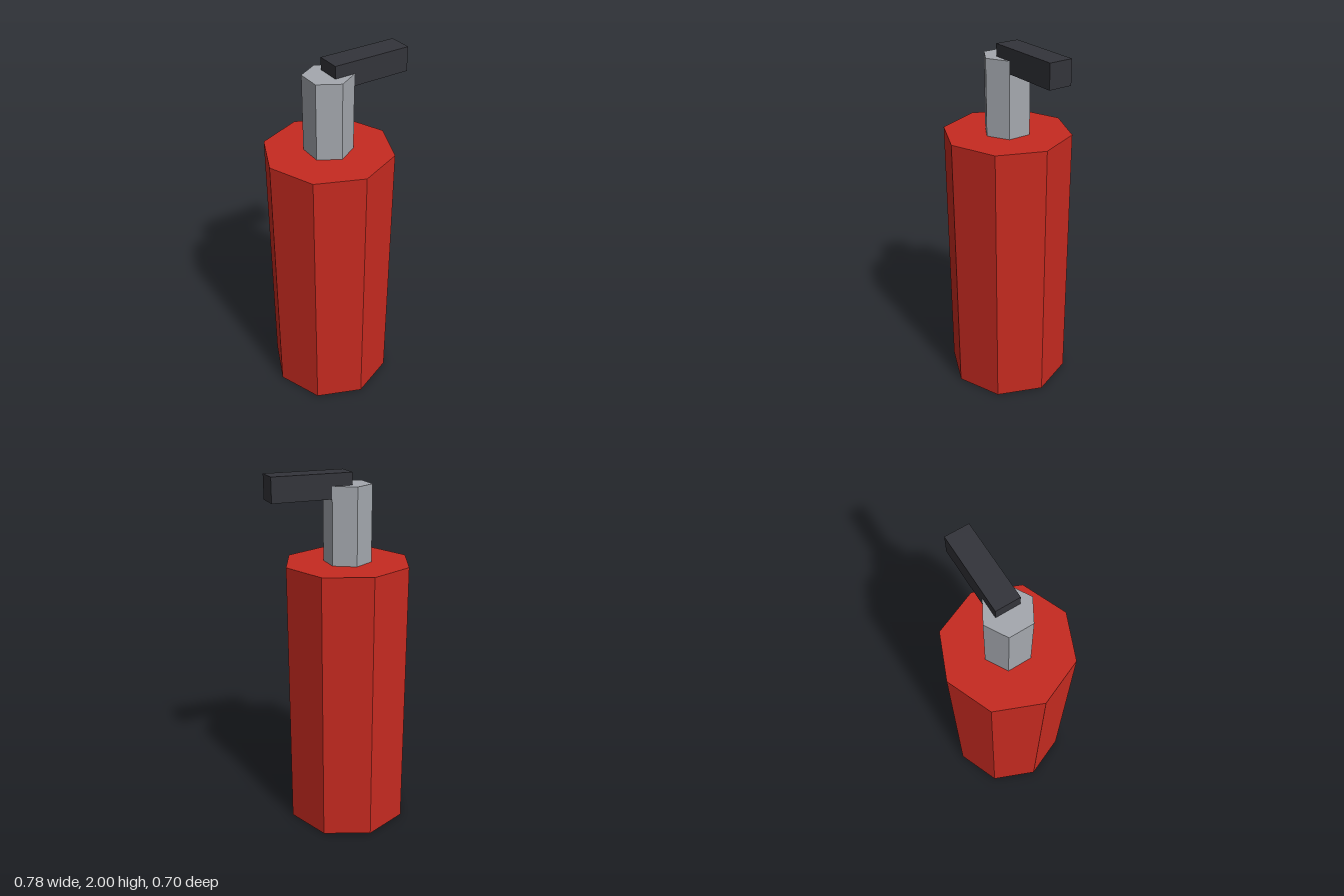
import * as THREE from 'three';

const AXIS_X = -0.0435; // the canister stands off-centre to balance the lever

function addPart(group, name, geometry, color, x, y) {
  const material = new THREE.MeshStandardMaterial({ color, flatShading: true });
  const mesh = new THREE.Mesh(geometry, material);
  mesh.name = name;
  mesh.position.set(x, y, 0);
  group.add(mesh);
}

// upright prism between two heights
function prism(radius, bottom, top, sides) {
  return new THREE.CylinderGeometry(radius, radius, top - bottom, sides)
    .translate(0, (top + bottom) / 2, 0);
}

export function createModel() {
  const model = new THREE.Group();
  model.name = 'fireExtinguisher';

  // octagonal tank
  addPart(model, 'tank', prism(0.348, 0, 1.522, 8), 0xc62a20, AXIS_X, 0);

  // hexagonal neck, sunk slightly into the tank
  addPart(model, 'neck', prism(0.13, 1.5, 1.935, 6), 0xa4a8ae, AXIS_X, 0);

  // lever reaching out to the left from the neck's axis
  const length = 0.4345;
  addPart(model, 'lever', new THREE.BoxGeometry(length, 0.13, 0.13), 0x33343a,
    AXIS_X + length / 2, 1.935);

  return model;
}
